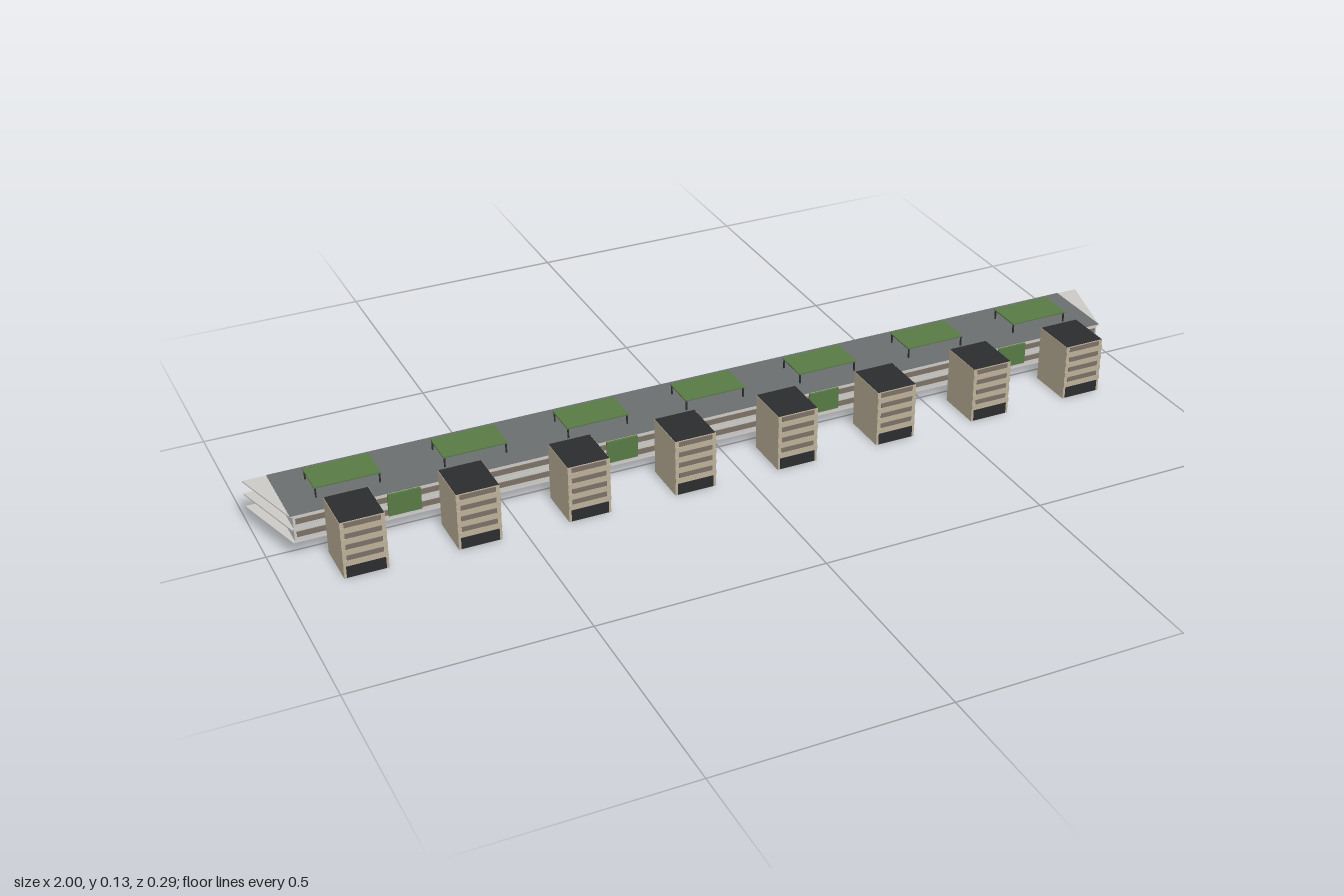
import * as THREE from 'three';

const mat = (name, color, side = THREE.FrontSide) => {
  const m = new THREE.MeshStandardMaterial({ color, side });
  m.name = name;
  return m;
};

export function createModel() {
  const concrete = mat('light concrete', 0xcac9c6);
  const roofGrey = mat('roof grey', 0x6a6e6f);
  const tan = mat('tan wall', 0xbbaf98);
  const window = mat('window brown', 0x7b7066);
  const dark = mat('dark roofing', 0x2b2c2e);
  const green = mat('planting green', 0x587a45);

  const model = new THREE.Group();
  model.name = 'terminalBuilding';

  // box given by its limits on each axis
  const box = (parent, name, material, [x0, x1], [y0, y1], [z0, z1]) => {
    const g = new THREE.BoxGeometry(x1 - x0, y1 - y0, z1 - z0);
    const mesh = new THREE.Mesh(g, material);
    mesh.position.set((x0 + x1) / 2, (y0 + y1) / 2, (z0 + z1) / 2);
    mesh.name = name;
    parent.add(mesh);
    return mesh;
  };

  // main hall: enclosed volume between overhanging trapezoid slabs
  const hall = new THREE.Group();
  hall.name = 'mainHall';
  model.add(hall);
  box(hall, 'hallWalls', concrete, [-0.945, 0.945], [0.039, 0.097], [-0.118, 0.029]);

  const slabShape = new THREE.Shape([
    new THREE.Vector2(-0.95, -0.03), new THREE.Vector2(0.95, -0.03),
    new THREE.Vector2(1, 0.143), new THREE.Vector2(-1, 0.143),
  ]);
  const slabGeometry = new THREE.ExtrudeGeometry(slabShape, { depth: 0.003, bevelEnabled: false });
  slabGeometry.rotateX(-Math.PI / 2);
  for (const y of [0.036, 0.066, 0.096]) {
    const slab = new THREE.Mesh(slabGeometry, concrete);
    slab.name = 'floorSlab';
    slab.position.y = y;
    hall.add(slab);
  }
  box(hall, 'roofCovering', roofGrey, [-0.95, 0.95], [0.099, 0.1], [-0.143, 0.03]);

  // long window bands on the front
  for (const y of [0.049, 0.079])
    box(hall, 'windowBand', window, [-0.94, 0.94], [y, y + 0.012], [0.029, 0.031]);

  // green wall panels in every other gap between towers
  const pitch = 0.2386;
  for (const k of [-3, -1, 1, 3])
    box(hall, 'greenWall', green, [k * pitch - 0.035, k * pitch + 0.035], [0.048, 0.098], [0.03, 0.035]);

  // roof canopies on four posts
  for (let i = -3; i <= 3; i++) {
    const canopy = new THREE.Group();
    canopy.name = 'canopy';
    canopy.position.x = i * 0.272;
    box(canopy, 'canopyTop', green, [-0.07, 0.07], [0.122, 0.125], [-0.096, -0.014]);
    for (const x of [-0.067, 0.067])
      for (const z of [-0.093, -0.017])
        box(canopy, 'canopyPost', dark, [x - 0.0015, x + 0.0015], [0.1, 0.122], [z - 0.0015, z + 0.0015]);
    model.add(canopy);
  }

  // front towers, hollow at ground level
  for (let i = 0; i < 8; i++) {
    const tower = new THREE.Group();
    tower.name = 'tower';
    tower.position.x = (i - 3.5) * pitch;
    box(tower, 'upperFloors', tan, [-0.0465, 0.0465], [0.03, 0.129], [0.036, 0.141]);
    for (const s of [-1, 1])
      box(tower, 'groundSideWall', tan, [s * 0.0455 - 0.001, s * 0.0455 + 0.001], [0, 0.03], [0.036, 0.141]);
    box(tower, 'groundBackWall', tan, [-0.0445, 0.0445], [0, 0.03], [0.036, 0.038]);
    box(tower, 'groundFrontWall', tan, [-0.0445, 0.0445], [0, 0.03], [0.139, 0.141]);
    box(tower, 'entrance', dark, [-0.041, 0.041], [0.001, 0.027], [0.1385, 0.142]);
    box(tower, 'towerRoof', dark, [-0.0455, 0.0455], [0.129, 0.13], [0.037, 0.14]);
    // window strip and parapet on each upper floor
    for (let f = 0; f < 4; f++) {
      const y = 0.03 + f * 0.025;
      box(tower, 'parapet', tan, [-0.0465, 0.0465], [y, y + 0.011], [0.141, 0.143]);
      box(tower, 'towerWindow', window, [-0.038, 0.038], [y + 0.011, y + 0.022], [0.1405, 0.142]);
    }
    model.add(tower);
  }
  return model;
}
